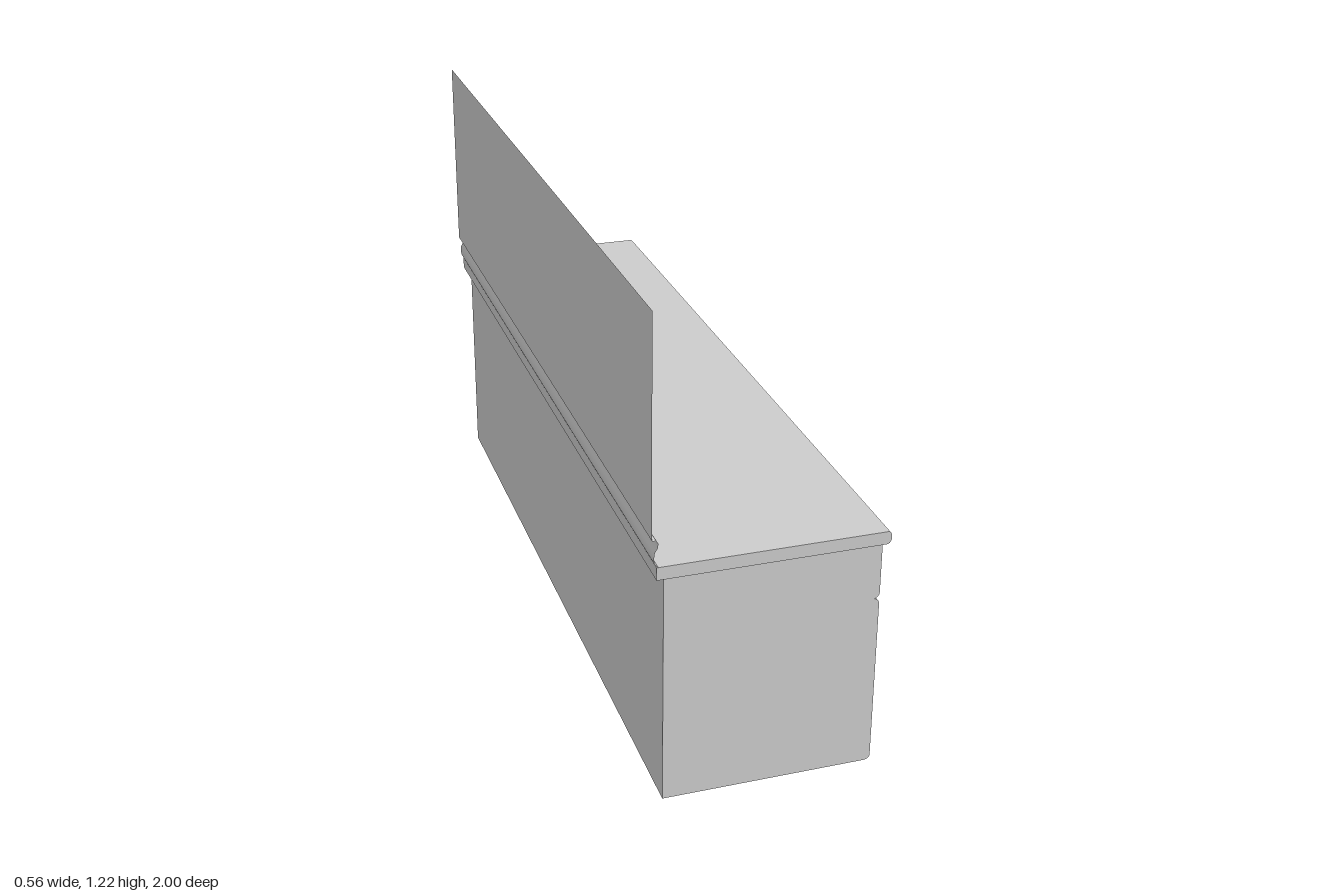
import * as THREE from 'three';

const material = new THREE.MeshStandardMaterial({ color: 0xcccccc });
const sheetMaterial = new THREE.MeshStandardMaterial({ color: 0xcccccc, side: THREE.DoubleSide });

// Solid bar: an x-y outline extruded along z, centred on z = 0
function bar(name, shape, length) {
  const geometry = new THREE.ExtrudeGeometry(shape, { depth: length, bevelEnabled: false, curveSegments: 4 });
  geometry.translate(0, 0, -length / 2);
  const mesh = new THREE.Mesh(geometry, material);
  mesh.name = name;
  return mesh;
}

// Open sheet: an x-y polyline swept along z
function sheet(name, points, length) {
  const geometry = new THREE.PlaneGeometry(1, length, points.length - 1, 1);
  const pos = geometry.attributes.position;
  for (let i = 0; i < pos.count; i++) {
    const [x, y] = points[i % points.length];
    pos.setXYZ(i, x, y, pos.getY(i));
  }
  geometry.computeVertexNormals();
  const mesh = new THREE.Mesh(geometry, sheetMaterial);
  mesh.name = name;
  return mesh;
}

export function createModel() {
  const group = new THREE.Group();
  group.name = 'counter';

  // Cabinet with a rounded front foot, a groove below the drawer band and a rounded top
  const body = new THREE.Shape();
  body.moveTo(-0.252, 0);
  body.lineTo(0.252, 0);
  body.quadraticCurveTo(0.265, 0.002, 0.265, 0.014);
  body.lineTo(0.265, 0.43);
  body.quadraticCurveTo(0.264, 0.441, 0.252, 0.444);
  body.quadraticCurveTo(0.264, 0.447, 0.265, 0.458);
  body.lineTo(0.265, 0.577);
  body.quadraticCurveTo(0.264, 0.588, 0.252, 0.59);
  body.lineTo(-0.252, 0.59);
  body.closePath();
  group.add(bar('cabinet', body, 1.97));

  // Worktop with a rounded front edge
  const top = new THREE.Shape();
  top.moveTo(-0.272, 0.59);
  top.lineTo(0.272, 0.59);
  top.quadraticCurveTo(0.28, 0.594, 0.281, 0.606);
  top.quadraticCurveTo(0.281, 0.62, 0.273, 0.622);
  top.lineTo(-0.272, 0.622);
  top.closePath();
  group.add(bar('worktop', top, 1.995));

  // Thin wall panel standing on a curved moulding
  group.add(sheet('backPanel', [[-0.283, 0.69], [-0.283, 1.22]], 1.995));
  group.add(sheet('moulding', [
    [-0.283, 0.69], [-0.274, 0.69], [-0.269, 0.682], [-0.27, 0.672],
    [-0.277, 0.66], [-0.279, 0.645], [-0.277, 0.632], [-0.268, 0.622],
  ], 2));
  return group;
}
